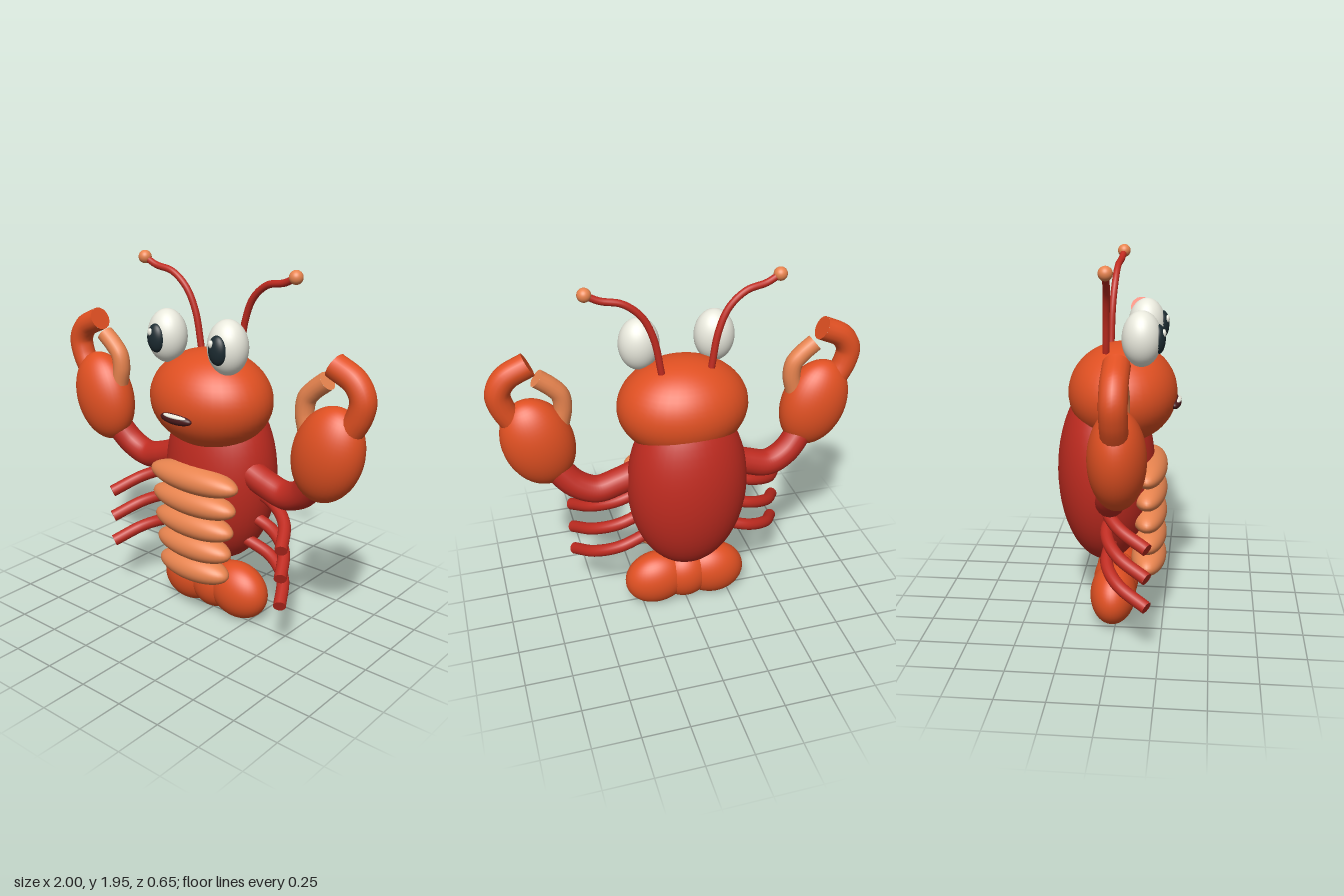
import * as THREE from 'three';
import { mergeGeometries } from 'three/addons/utils/BufferGeometryUtils.js';

const paint = (color) => new THREE.MeshStandardMaterial({ color });
const RED = paint(0xbf2b20);
const ORANGE = paint(0xe05022);
const PEACH = paint(0xe8844f);
const WHITE = paint(0xe9e9dd);
const DARK = paint(0x1c2b31);
const MOUTH = paint(0x4a1a1c);

function ellipsoid(name, material, [x, y, z], [rx, ry, rz], tilt = 0) {
  const geometry = new THREE.SphereGeometry(1, 40, 28).scale(rx, ry, rz);
  const mesh = new THREE.Mesh(geometry, material);
  mesh.name = name;
  mesh.position.set(x, y, z);
  mesh.rotation.z = tilt;
  return mesh;
}

// Round tube through the points, closed at both ends with flat discs
function tube(name, material, radius, points) {
  const curve = new THREE.CatmullRomCurve3(points.map((p) => new THREE.Vector3(...p)));
  const parts = [new THREE.TubeGeometry(curve, 32, radius, 16)];
  for (const t of [0, 1]) {
    const outward = curve.getTangent(t).multiplyScalar(t ? 1 : -1);
    const turn = new THREE.Quaternion().setFromUnitVectors(new THREE.Vector3(0, 0, 1), outward);
    const end = curve.getPoint(t);
    parts.push(new THREE.CircleGeometry(radius, 16).applyQuaternion(turn).translate(end.x, end.y, end.z));
  }
  const mesh = new THREE.Mesh(mergeGeometries(parts), material);
  mesh.name = name;
  return mesh;
}

// Limbs and face parts of one side; s is +1 for left, -1 for right
function createSide(s) {
  const side = new THREE.Group();
  const label = s > 0 ? 'left' : 'right';
  side.name = label + 'Side';
  const flip = (points) => points.map(([x, y, z]) => [x * s, y, z]);

  // Eye, with the glint on the same side of both pupils
  side.add(
    ellipsoid(label + 'Eye', WHITE, [0.2 * s, 1.57, 0.13], [0.107, 0.14, 0.1]),
    ellipsoid(label + 'Pupil', DARK, [0.203 * s, 1.57, 0.212], [0.053, 0.075, 0.037]),
    ellipsoid(label + 'Glint', WHITE, [0.2 * s - 0.018, 1.603, 0.24], [0.015, 0.02, 0.012]),
  );

  // Antenna
  side.add(
    tube(label + 'Antenna', RED, 0.018, flip([
      [0.13, 1.48, -0.055], [0.165, 1.67, -0.05], [0.22, 1.79, -0.042],
      [0.31, 1.865, -0.035], [0.42, 1.89, -0.025], [0.49, 1.925, -0.018],
    ])),
    ellipsoid(label + 'AntennaTip', PEACH, [0.49 * s, 1.925, -0.018], [0.035, 0.035, 0.035]),
  );

  // Arm and claw
  side.add(
    tube(label + 'Arm', RED, 0.074, flip([
      [0.22, 0.9, 0], [0.36, 0.845, 0], [0.48, 0.818, 0], [0.59, 0.865, 0.015], [0.7, 0.99, 0.05],
    ])),
    ellipsoid(label + 'Claw', ORANGE, [0.757 * s, 1.122, 0.06], [0.185, 0.253, 0.137], -0.3 * s),
    tube(label + 'OuterPincer', ORANGE, 0.064, flip([
      [0.86, 1.24, 0.06], [0.92, 1.35, 0.06], [0.933, 1.43, 0.06], [0.89, 1.505, 0.06], [0.773, 1.565, 0.06],
    ])),
    tube(label + 'InnerPincer', PEACH, 0.048, flip([
      [0.635, 1.22, 0.06], [0.617, 1.31, 0.06], [0.628, 1.38, 0.06], [0.67, 1.43, 0.06], [0.738, 1.485, 0.06],
    ])),
  );

  // Walking legs
  for (let i = 0; i < 3; i++) {
    const drop = i * 0.155;
    side.add(tube(label + 'Leg' + (i + 1), RED, 0.033, flip([
      [0.2, 0.8 - drop, -0.02], [0.37, 0.742 - drop, -0.03],
      [0.5, 0.685 - drop, 0.04], [0.593, 0.613 - drop, 0.19],
    ])));
  }

  // Outer tail lobe
  side.add(ellipsoid(label + 'TailLobe', ORANGE, [0.163 * s, 0.165, -0.017], [0.184, 0.158, 0.123], -0.2 * s));
  return side;
}

export function createModel() {
  const model = new THREE.Group();
  model.name = 'lobster';

  model.add(
    ellipsoid('body', RED, [0, 0.82, -0.067], [0.325, 0.51, 0.26]),
    ellipsoid('head', ORANGE, [0, 1.25, 0.02], [0.347, 0.26, 0.285]),
    ellipsoid('mouth', MOUTH, [0, 1.2, 0.295], [0.102, 0.03, 0.032]),
    ellipsoid('teeth', WHITE, [0, 1.215, 0.304], [0.076, 0.012, 0.024]),
    ellipsoid('middleTailLobe', ORANGE, [0, 0.17, -0.017], [0.15, 0.155, 0.123]),
  );

  // Belly plates, narrowing downwards
  for (let i = 0; i < 5; i++) {
    model.add(ellipsoid('bellyPlate' + (i + 1), PEACH,
      [0, 0.84 - i * 0.128, 0.165], [0.292 - i * 0.015, 0.079, 0.095]));
  }

  model.add(createSide(1), createSide(-1));
  return model;
}
